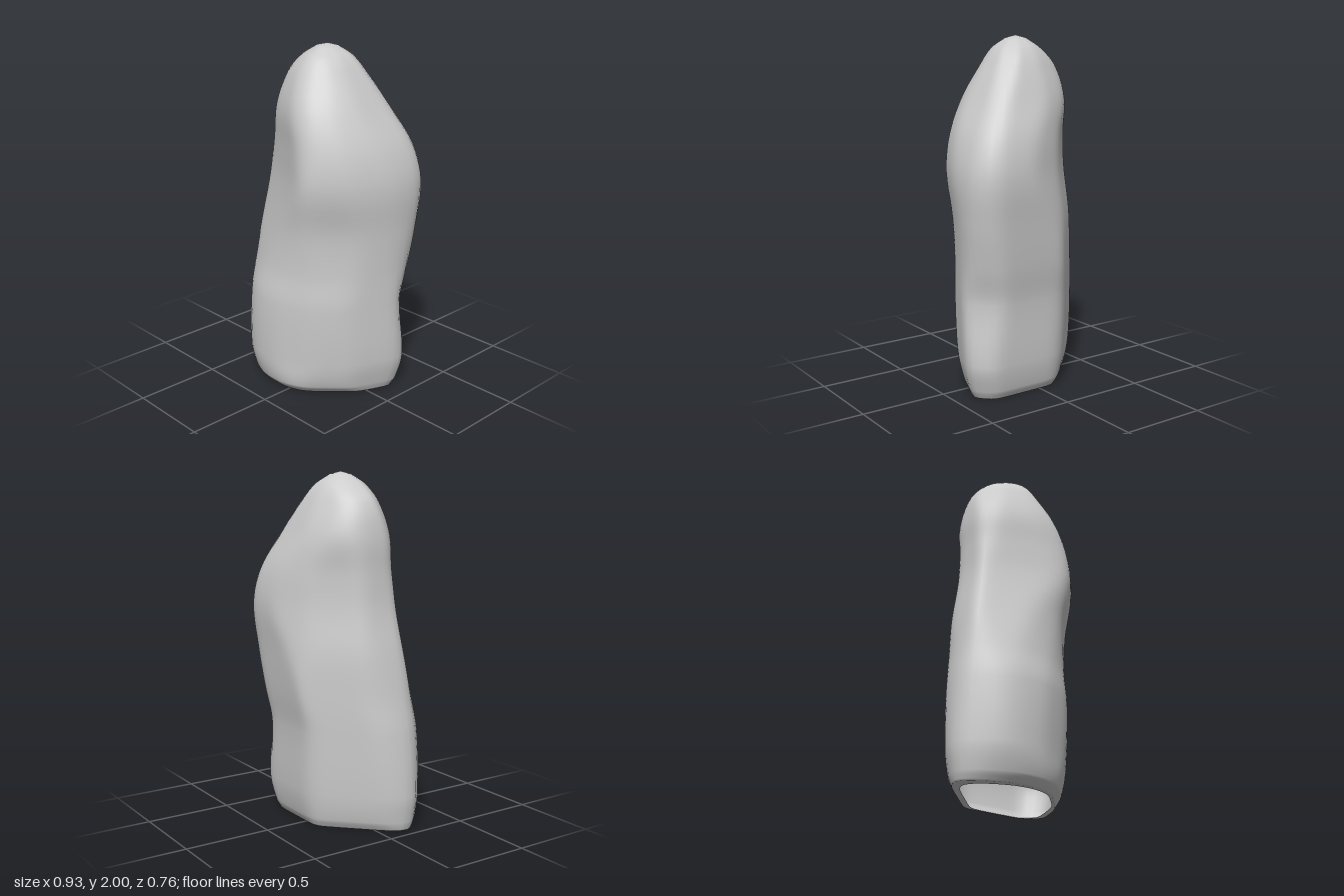
import * as THREE from 'three';

// Facing of each facet, in degrees counterclockwise seen from above (0 = +x, 90 = -z)
const FACINGS = [0, 45, 90, 112.5, 135, 157.5, 180, 225, 247.5, 270, 292.5, 315, 337.5]
  .map(THREE.MathUtils.degToRad);

// Each level: height, then distance from the axis to each facet
const RIM = [0, .355, .355, .225, .22, .205, .31, .38, .375, .325, .29, .265, .24, .27];
const FOOT = [0, .405, .385, .24, .255, .24, .36, .455, .44, .37, .315, .285, .255, .305];
const PROFILE = [
  [0.05, .425, .41, .265, .275, .265, .37, .465, .455, .40, .357, .325, .295, .325],
  [0.20, .45, .447, .29, .297, .287, .388, .475, .47, .435, .38, .335, .325, .355],
  [0.55, .447, .42, .302, .318, .30, .378, .442, .455, .425, .377, .345, .343, .365],
  [0.75, .445, .46, .33, .35, .302, .357, .408, .425, .375, .342, .333, .33, .37],
  [1.00, .463, .505, .355, .328, .296, .34, .366, .392, .318, .328, .347, .338, .383],
  [1.25, .467, .528, .375, .30, .267, .307, .318, .342, .277, .35, .39, .385, .405],
  [1.45, .415, .477, .345, .285, .262, .295, .304, .307, .267, .333, .375, .372, .378],
  [1.65, .305, .35, .267, .256, .272, .292, .299, .288, .263, .30, .322, .31, .302],
  [1.83, .20, .222, .193, .19, .215, .24, .253, .222, .208, .222, .222, .207, .20],
  [1.93, .13, .14, .13, .13, .135, .145, .152, .14, .14, .15, .15, .14, .13],
];
const SIDES = 72, STEPS = 5;

// Smooth minimum of the facet distances at one angle
function radius(level, angle) {
  let sum = 0;
  FACINGS.forEach((facing, k) => {
    const c = Math.cos(angle - facing);
    if (c > 0) sum += (c / level[k + 1]) ** 28;
  });
  return sum ** (-1 / 28);
}

// Blend the levels into evenly flowing rings
function makeRings() {
  const crown = PROFILE[PROFILE.length - 1];
  const dome = crown.map((v, k) => (k === 0 ? 1.985 : v * 0.42));
  const levels = [FOOT, ...PROFILE, dome];
  const last = levels.length - 1;
  // Turned-in rim around the open underside
  const rings = [RIM];
  for (let i = 0; i < last; i++) {
    const a = levels[i], b = levels[i + 1];
    const before = levels[Math.max(i - 1, 0)], after = levels[Math.min(i + 2, last)];
    const h = b[0] - a[0];
    for (let s = 0; s < STEPS; s++) {
      const t = s / STEPS, t2 = t * t, t3 = t2 * t;
      rings.push(a.map((v, k) => {
        if (k === 0) return v + h * t;
        // Hermite blend with slopes measured over height
        const m0 = (b[k] - before[k]) / (b[0] - before[0]) * h;
        const m1 = (after[k] - v) / (after[0] - a[0]) * h;
        return (2 * t3 - 3 * t2 + 1) * v + (t3 - 2 * t2 + t) * m0
          + (3 * t2 - 2 * t3) * b[k] + (t3 - t2) * m1;
      }));
    }
  }
  rings.push(dome);
  return rings;
}

function ringPoints(level) {
  const points = [];
  for (let j = 0; j < SIDES; j++) {
    const a = j / SIDES * Math.PI * 2;
    const r = radius(level, a);
    points.push(Math.cos(a) * r, level[0], -Math.sin(a) * r);
  }
  return points;
}

export function createModel() {
  const group = new THREE.Group();
  group.name = 'standingStone';
  const material = new THREE.MeshStandardMaterial({ color: 0xcccccc, side: THREE.DoubleSide });

  // Weathered shell, open below and closed by a rounded tip
  const rings = makeRings();
  const positions = [...rings.flatMap(ringPoints), 0, 2, 0];
  const tip = rings.length * SIDES;
  const index = [];
  for (let i = 0; i < rings.length; i++) {
    for (let j = 0; j < SIDES; j++) {
      const a = i * SIDES + j, b = i * SIDES + (j + 1) % SIDES;
      if (i === rings.length - 1) index.push(a, b, tip);
      else index.push(a, b, a + SIDES, b, b + SIDES, a + SIDES);
    }
  }
  const geometry = new THREE.BufferGeometry();
  geometry.setAttribute('position', new THREE.Float32BufferAttribute(positions, 3));
  geometry.setIndex(index);
  geometry.computeVertexNormals();

  const body = new THREE.Mesh(geometry, material);
  body.name = 'stoneBody';
  group.add(body);
  return group;
}
